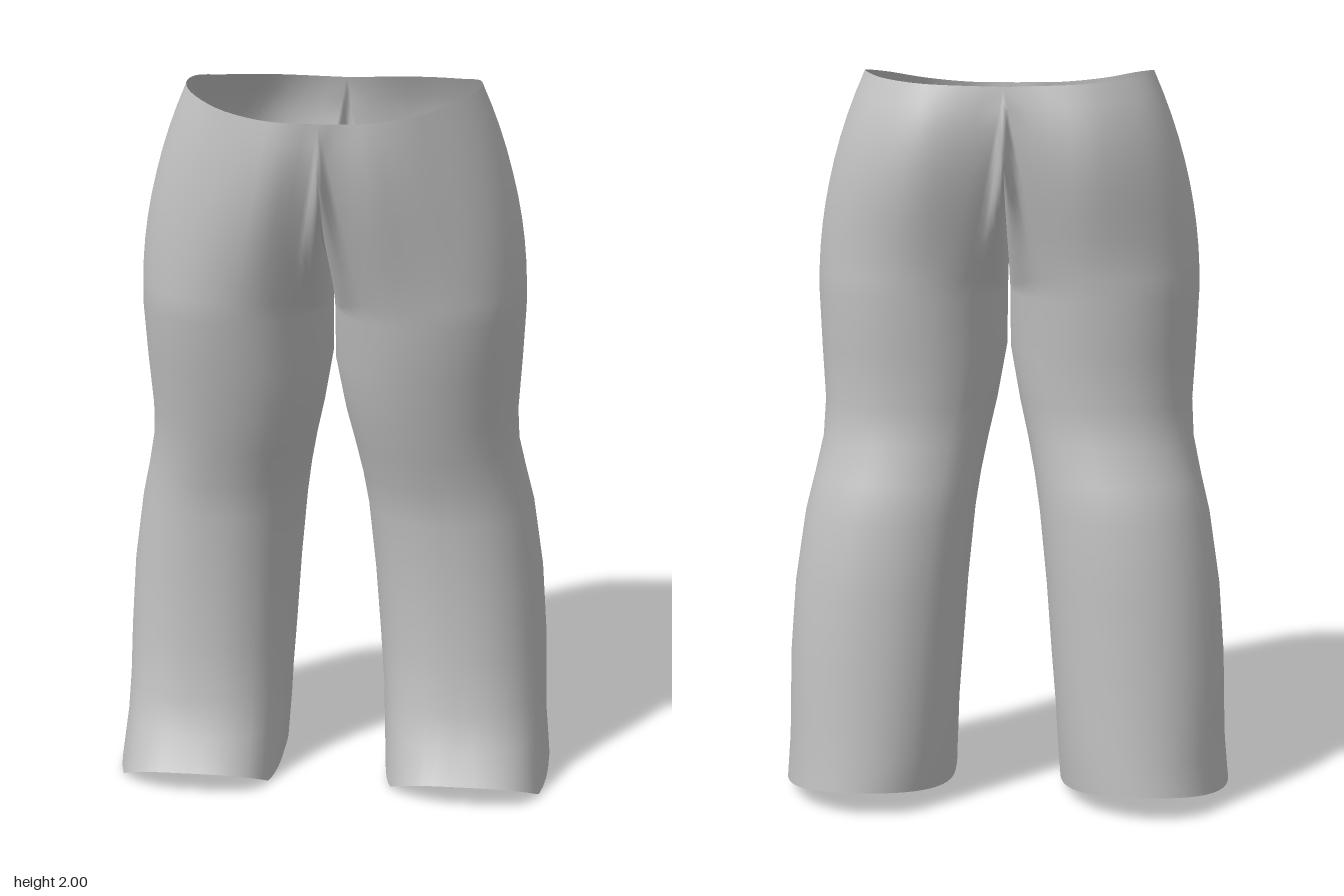
import * as THREE from 'three';
import { mergeGeometries, mergeVertices } from 'three/addons/utils/BufferGeometryUtils.js';

const OUTER = 32, SEAM = 20, COLS = OUTER + SEAM, RISE = 10;

// Leg cross-sections: y, inner x, outer x, back z, front z, squareness of the front
const LEG = [
  [0.00, 0.150, 0.625, -0.400, 0.270, 2.9],
  [0.15, 0.142, 0.613, -0.390, 0.208, 2.6],
  [0.25, 0.137, 0.609, -0.380, 0.176, 2.4],
  [0.40, 0.125, 0.605, -0.366, 0.156, 2.2],
  [0.60, 0.110, 0.590, -0.350, 0.150, 2.2],
  [0.80, 0.090, 0.560, -0.330, 0.155, 2.2],
  [0.90, 0.075, 0.536, -0.300, 0.170, 2.2],
  [1.00, 0.055, 0.515, -0.268, 0.200, 2.1],
  [1.10, 0.032, 0.510, -0.252, 0.225, 2.1],
  [1.25, 0.005, 0.519, -0.264, 0.265, 2.1],
  [1.40, 0.004, 0.526, -0.275, 0.295, 2.1],
];

const v = (a) => new THREE.Vector3(...a);
const spline = (pts) => new THREE.CatmullRomCurve3(pts.map(v));

// Half of the waist edge, front centre to back centre
const waist = spline([
  [0, 1.955, 0.385], [0.13, 1.957, 0.37], [0.25, 1.97, 0.31], [0.345, 1.99, 0.2], [0.392, 2, 0.06],
  [0.385, 2, -0.06], [0.33, 1.985, -0.17], [0.21, 1.972, -0.27], [0, 1.965, -0.285],
]);

// Centre seam, back waist under the crotch to front waist
const seam = spline([
  [0, 1.965, -0.285], [0, 1.89, -0.33], [0, 1.8, -0.342], [0, 1.7, -0.28], [0, 1.61, -0.17], [0, 1.56, -0.04],
  [0, 1.56, 0.09], [0, 1.6, 0.22], [0, 1.68, 0.315], [0, 1.83, 0.4], [0, 1.955, 0.385],
]);

// Angle round the leg: 0 is front, 90 is outside; the seam takes the inner part
function columnAngle(j) {
  const deg = j <= OUTER ? -35 + (250 * j) / OUTER : 215 + (110 * (j - OUTER)) / SEAM;
  return THREE.MathUtils.degToRad(deg);
}

function hemHeight(z) {
  if (z > 0.15) return ((z - 0.15) / 0.12) * 0.07;
  if (z > 0) return 0.025 * (1 - z / 0.15);
  return 0.025 + 0.045 * (z / 0.4) ** 2;
}

function legPoint([y, xin, xout, zb, zf, power], j) {
  const a = columnAngle(j), s = Math.sin(a), c = Math.cos(a);
  const e = 2 / (c > 0 ? power : 2.1);
  const x = (xin + xout) / 2 + ((xout - xin) / 2) * Math.sign(s) * Math.abs(s) ** e;
  const z = (zb + zf) / 2 + ((zf - zb) / 2) * Math.sign(c) * Math.abs(c) ** e;
  return v([x, y === 0 ? hemHeight(z) : y, z]);
}

// Hips: blend from the thigh ring to the waist and seam, rounded outwards
function hipPoint(j, t) {
  const low = legPoint(LEG[LEG.length - 1], j);
  const isOuter = j <= OUTER;
  const top = isOuter ? waist.getPoint(j / OUTER) : seam.getPoint((j - OUTER) / SEAM);
  const p = low.lerp(top, t);
  if (isOuter) {
    const a = columnAngle(j), edge = Math.min(1, j / 4, (OUTER - j) / 4);
    const swell = 6.75 * t * t * (1 - t);
    p.x += 0.036 * Math.max(0, Math.sin(a)) * 4 * t * (1 - t);
    const front = Math.max(0, 1 - Math.abs(j - 3) / 5);
    p.z -= 0.055 * Math.max(0, -Math.cos(a)) * swell * (0.5 + 0.5 * edge);
    p.z += 0.028 * front * swell;
  }
  p.x = Math.max(0, p.x);
  return p;
}

// One half of the trousers as a tube of rings; side is 1 or -1
function halfTrousers(side) {
  const rings = LEG.map((row) => Array.from({ length: COLS }, (_, j) => legPoint(row, j)));
  for (let r = 1; r <= RISE; r++) {
    rings.push(Array.from({ length: COLS }, (_, j) => hipPoint(j, r / RISE)));
  }
  const positions = [], index = [];
  rings.forEach((ring) => ring.forEach((p) => positions.push(side * p.x, p.y, p.z)));
  for (let r = 0; r < rings.length - 1; r++) {
    for (let j = 0; j < COLS; j++) {
      const a = r * COLS + j, b = r * COLS + ((j + 1) % COLS);
      const c = a + COLS, d = b + COLS;
      if (side > 0) index.push(a, b, d, a, d, c);
      else index.push(a, d, b, a, c, d);
    }
  }
  const g = new THREE.BufferGeometry();
  g.setAttribute('position', new THREE.Float32BufferAttribute(positions, 3));
  g.setIndex(index);
  return g;
}

export function createModel() {
  const cloth = new THREE.MeshStandardMaterial({ color: 0xc0c0c0, side: THREE.DoubleSide });
  cloth.name = 'grey cloth';

  // Join both halves along the seam so the shading runs across it
  const geometry = mergeVertices(mergeGeometries([halfTrousers(1), halfTrousers(-1)]), 1e-4);
  geometry.computeVertexNormals();

  const trousers = new THREE.Mesh(geometry, cloth);
  trousers.name = 'trousers';
  const group = new THREE.Group();
  group.name = 'flaredTrousers';
  group.add(trousers);
  return group;
}
